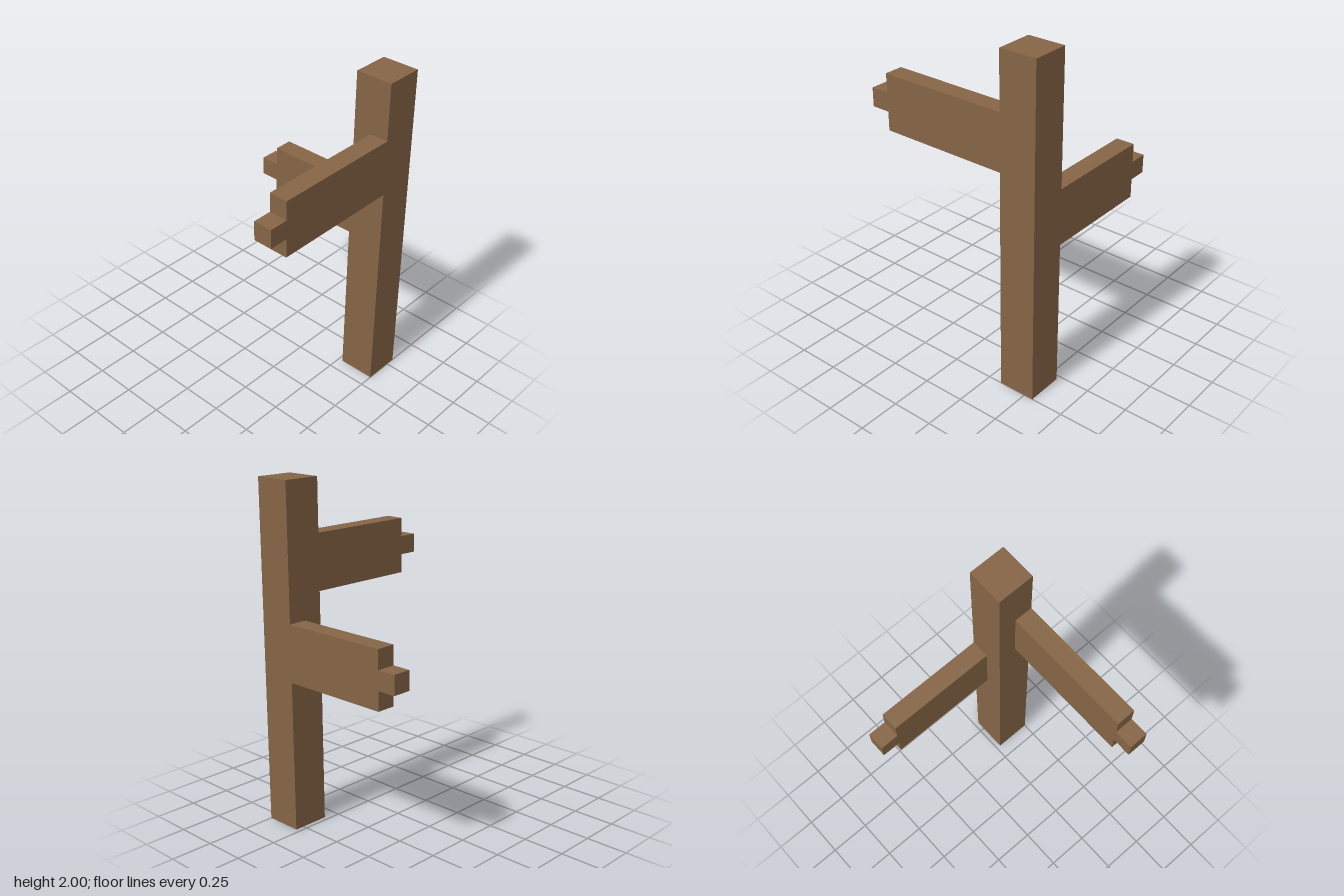
import * as THREE from 'three';

const U = 1 / 9; // joinery module: every size is a multiple of this

export function createModel() {
  const model = new THREE.Group();
  model.name = 'cornerPost';
  const wood = new THREE.MeshStandardMaterial({ color: 0x866546 });
  wood.name = 'brown wood';

  // Square upright
  const post = new THREE.Mesh(new THREE.BoxGeometry(2 * U, 18 * U, 2 * U), wood);
  post.name = 'post';
  post.position.set(3.5 * U, 9 * U, -4 * U);
  model.add(post);

  // Rail board, three units tall and one thick, with a centred end tenon
  function addRail(name, length, position, turn) {
    const outline = [
      [0, 0], [length, 0], [length, 1], [length + 1, 1],
      [length + 1, 2], [length, 2], [length, 3], [0, 3],
    ].map(([x, y]) => new THREE.Vector2(x * U, y * U));
    const geometry = new THREE.ExtrudeGeometry(new THREE.Shape(outline), { depth: U, bevelEnabled: false });
    const rail = new THREE.Mesh(geometry, wood);
    rail.name = name;
    rail.position.set(...position).multiplyScalar(U);
    rail.rotation.y = turn;
    model.add(rail);
  }
  addRail('sideRail', 6, [2.5, 8, -4], Math.PI); // runs toward -x
  addRail('frontRail', 7, [4.5, 12, -3], -Math.PI / 2); // runs toward +z

  return model;
}
